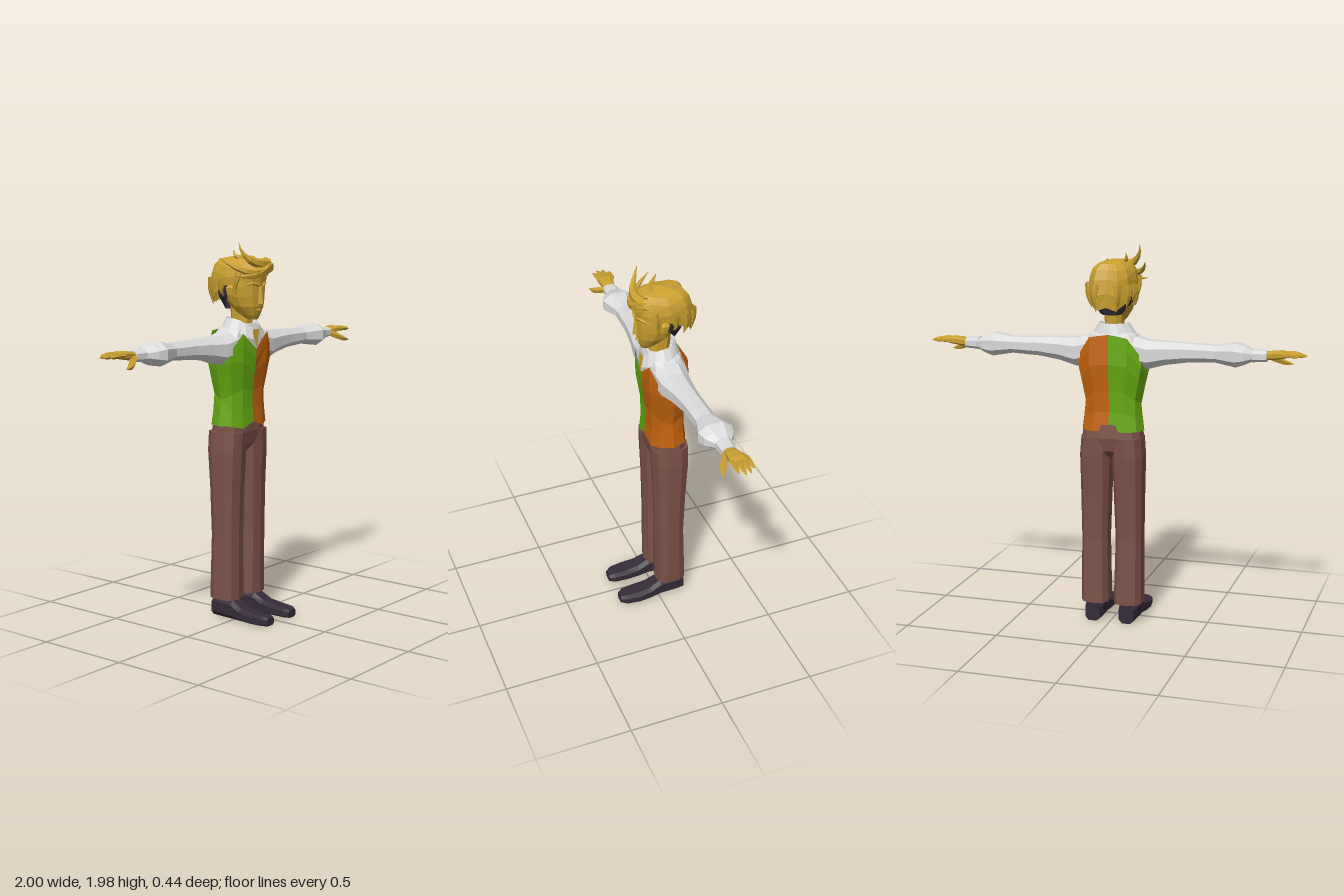
import * as THREE from 'three';

const paint = (name, color) => {
  const m = new THREE.MeshStandardMaterial({ color, side: THREE.DoubleSide });
  m.name = name;
  return m;
};

// Flat-shaded geometry from a grid of points: rows[i][j]
function gridGeometry(rows, closed, flip) {
  const pos = [];
  const tri = (a, b, c) => (flip ? [a, c, b] : [a, b, c]).forEach(p => pos.push(...p));
  const n = rows[0].length;
  for (let i = 0; i + 1 < rows.length; i++)
    for (let j = 0; j < (closed ? n : n - 1); j++) {
      const k = (j + 1) % n, [r, s] = [rows[i], rows[i + 1]];
      tri(r[j], s[j], s[k]);
      tri(r[j], s[k], r[k]);
    }
  if (closed)
    for (let j = 1; j + 1 < n; j++) {
      const r = rows[0], s = rows[rows.length - 1];
      tri(r[0], r[j], r[j + 1]);
      tri(s[0], s[j + 1], s[j]);
    }
  const g = new THREE.BufferGeometry();
  g.setAttribute('position', new THREE.Float32BufferAttribute(pos, 3));
  g.computeVertexNormals();
  return g;
}

// Closed loft along an axis; row = [position, centreA, centreB, radiusA, radiusB]
// axis y: A = x, B = z; axis x: A = z, B = y; axis z: A = y, B = x
function loft(axis, rows, n = 8, power = 0.75) {
  const bend = v => Math.sign(v) * Math.abs(v) ** power;
  return gridGeometry(rows.map(([s, ca, cb, ra, rb]) =>
    Array.from({ length: n }, (_, j) => {
      const t = ((j + 0.5) / n) * Math.PI * 2;
      const a = ca + ra * bend(Math.cos(t)), b = cb + rb * bend(Math.sin(t));
      return axis === 'y' ? [a, s, b] : axis === 'x' ? [s, b, a] : [b, a, s];
    })), true, false);
}

// Half shell on the +x side, columns from front to back; profile row = [y, halfWidth, zFront, zBack]
const SX = [0, 0.5, 0.86, 1, 0.86, 0.5, 0];
const SZ = [1, 0.95, 0.66, 0, -0.66, -0.95, -0.9];
function shell(profile, bottoms, tops, steps) {
  const at = y => {
    let i = 0;
    while (i < profile.length - 2 && y > profile[i + 1][0]) i++;
    const [p, q] = [profile[i], profile[i + 1]];
    const f = THREE.MathUtils.clamp((y - p[0]) / (q[0] - p[0]), 0, 1);
    return p.map((v, k) => v + (q[k] - v) * f);
  };
  return gridGeometry(steps.map(f => SX.map((sx, j) => {
    const y = bottoms[j] + (tops[j] - bottoms[j]) * f;
    const [, w, zf, zb] = at(y);
    return [w * sx, y, (zf + zb) / 2 + ((zf - zb) / 2) * SZ[j]];
  })), false, true);
}

// Tapering strand along a curve; a high power gives a blunt tip
function strand(points, radius, power = 1.3, sides = 5) {
  const curve = new THREE.CatmullRomCurve3(points.map(p => new THREE.Vector3(...p)));
  const seg = 7, g = new THREE.TubeGeometry(curve, seg, radius, sides, false);
  const p = g.attributes.position, v = new THREE.Vector3();
  for (let i = 0; i <= seg; i++) {
    const c = curve.getPointAt(i / seg), f = 1 - (i / seg) ** power;
    for (let j = 0; j <= sides; j++) {
      const k = i * (sides + 1) + j;
      v.fromBufferAttribute(p, k).sub(c).multiplyScalar(f).add(c);
      p.setXYZ(k, v.x, v.y, v.z);
    }
  }
  const flat = g.toNonIndexed();
  flat.computeVertexNormals();
  return flat;
}

// Copy mirrored in x, with the corner order restored
function mirrored(geometry) {
  const g = geometry.clone(), p = g.attributes.position, src = geometry.attributes.position;
  for (let i = 0; i < p.count; i++) {
    const k = i % 3 === 1 ? i + 1 : i % 3 === 2 ? i - 1 : i;
    p.setXYZ(i, -src.getX(k), src.getY(k), src.getZ(k));
  }
  g.computeVertexNormals();
  return g;
}

export function createModel() {
  const gold = paint('gold skin and hair', 0xc9a030), white = paint('white shirt', 0xdadada);
  const green = paint('green vest', 0x66aa11), orange = paint('orange vest', 0xc4640f);
  const brown = paint('brown trousers', 0x7b5147), dark = paint('dark leather', 0x352c38);
  const model = new THREE.Group();
  model.name = 'figure';
  const add = (name, g, m) => {
    const mesh = new THREE.Mesh(g, m);
    mesh.name = name;
    model.add(mesh);
  };
  const pair = (name, g, m, mRight = m) => {
    add(name + 'Left', g, m);
    add(name + 'Right', mirrored(g), mRight);
  };

  // Shoes and trousers
  pair('shoe', loft('z', [
    [-0.147, 0.05, 0.092, 0.05, 0.042], [-0.1, 0.054, 0.092, 0.054, 0.052], [-0.01, 0.053, 0.094, 0.053, 0.052],
    [0.05, 0.036, 0.096, 0.036, 0.056], [0.12, 0.03, 0.098, 0.03, 0.06], [0.19, 0.028, 0.096, 0.028, 0.052],
    [0.22, 0.024, 0.094, 0.022, 0.032]], 8, 0.65), dark);
  pair('trouserLeg', loft('y', [
    [0.105, 0.089, -0.076, 0.077, 0.084], [0.45, 0.092, -0.069, 0.072, 0.078], [0.7, 0.089, -0.071, 0.078, 0.086],
    [0.9, 0.087, -0.073, 0.083, 0.098], [1.0, 0.081, -0.071, 0.081, 0.1]], 10), brown);
  add('trouserSeat', loft('y', [
    [0.89, 0, -0.07, 0.05, 0.05], [0.93, 0, -0.07, 0.15, 0.085], [1.0, 0, -0.07, 0.16, 0.098],
    [1.07, 0, -0.066, 0.152, 0.092]], 12), brown);

  // Two-coloured vest
  pair('vest', shell(
    [[1.03, 0.167, 0.036, -0.168], [1.18, 0.148, 0.024, -0.15], [1.38, 0.195, 0.052, -0.177], [1.53, 0.2, 0.05, -0.165]],
    [1.05, 1.02, 1.035, 1.035, 1.035, 1.035, 1.035], [1.43, 1.515, 1.42, 1.36, 1.42, 1.52, 1.535],
    [0, 0.2, 0.42, 0.7, 0.87, 1]), orange, green);

  // Shirt body, sleeves and cuffs
  add('shirtBody', loft('y', [
    [1.2, 0, -0.064, 0.125, 0.07], [1.4, 0, -0.063, 0.165, 0.1], [1.48, 0, -0.06, 0.165, 0.1],
    [1.53, 0, -0.055, 0.125, 0.09], [1.56, 0, -0.045, 0.07, 0.07]], 12), white);
  pair('sleeve', loft('x', [
    [0.08, -0.06, 1.46, 0.095, 0.08], [0.19, -0.06, 1.432, 0.082, 0.078], [0.28, -0.062, 1.443, 0.066, 0.063],
    [0.39, -0.066, 1.45, 0.056, 0.052], [0.54, -0.07, 1.452, 0.055, 0.045], [0.645, -0.07, 1.452, 0.093, 0.064],
    [0.69, -0.072, 1.452, 0.08, 0.048], [0.735, -0.075, 1.452, 0.045, 0.027]], 8, 0.9), white);
  pair('cuff', loft('x', [[0.73, -0.075, 1.452, 0.045, 0.033], [0.8, -0.075, 1.452, 0.038, 0.028]], 8, 0.8), white);

  // Turned-down collar, open at the front
  const collarRow = (rx, rz, y, tip) => Array.from({ length: 8 }, (_, j) => {
    const t = THREE.MathUtils.degToRad(72 - j * (162 / 7));
    return [rx * Math.cos(t), y - tip * Math.max(0, Math.sin(t)) ** 2, -0.04 + rz * Math.sin(t)];
  });
  pair('collar', gridGeometry([
    collarRow(0.115, 0.108, 1.535, 0.06), collarRow(0.078, 0.09, 1.588, 0.05), collarRow(0.06, 0.075, 1.54, 0.04)],
  false, true), white);

  // Neck with the open throat
  add('neck', loft('y', [
    [1.48, 0, -0.04, 0.055, 0.06], [1.56, 0, -0.042, 0.046, 0.055], [1.68, 0, -0.05, 0.05, 0.058]], 8), gold);
  add('throat', gridGeometry([
    [[-0.004, 1.445, 0.056], [0.004, 1.445, 0.056]], [[-0.032, 1.53, 0.046], [0.032, 1.53, 0.046]]], false, true), gold);

  // Hands
  pair('palm', loft('x', [
    [0.785, -0.075, 1.452, 0.028, 0.02], [0.83, -0.078, 1.458, 0.036, 0.023], [0.875, -0.083, 1.464, 0.047, 0.02],
    [0.91, -0.084, 1.465, 0.044, 0.012]], 8), gold);
  [[-0.046, 0.98], [-0.072, 1.0], [-0.098, 0.995], [-0.123, 0.965]].forEach(([z, tip], i) =>
    pair('finger' + (i + 1), strand([
      [0.88, 1.465, z], [0.93, 1.466, z], [tip, 1.46, z * 1.1 + 0.008]], 0.013, 5), gold));
  pair('thumb', strand([[0.8, 1.45, -0.06], [0.85, 1.425, -0.025], [0.88, 1.412, -0.01], [0.92, 1.405, 0.002]], 0.018, 4), gold);

  // Head and face
  add('head', loft('y', [
    [1.582, 0, 0.03, 0.026, 0.022], [1.605, 0, 0.012, 0.05, 0.05], [1.65, 0, -0.008, 0.082, 0.082],
    [1.7, 0, -0.028, 0.1, 0.104], [1.75, 0, -0.036, 0.107, 0.112], [1.82, 0, -0.038, 0.107, 0.12],
    [1.88, 0, -0.04, 0.07, 0.09]], 14, 0.85), gold);
  add('nose', gridGeometry([
    [[-0.02, 1.665, 0.065], [0, 1.662, 0.096], [0.02, 1.665, 0.065]],
    [[-0.009, 1.75, 0.07], [0, 1.755, 0.084], [0.009, 1.75, 0.07]]], false, true), gold);
  add('lips', loft('x', [
    [-0.028, 0.06, 1.632, 0.004, 0.003], [0, 0.07, 1.632, 0.01, 0.008], [0.028, 0.06, 1.632, 0.004, 0.003]], 6), gold);
  pair('brow', strand([[0.012, 1.755, 0.078], [0.05, 1.768, 0.07], [0.09, 1.752, 0.035]], 0.009, 2), gold);
  pair('ear', loft('y', [
    [1.675, 0.1, -0.03, 0.008, 0.01], [1.71, 0.108, -0.032, 0.012, 0.02], [1.745, 0.113, -0.036, 0.012, 0.024],
    [1.76, 0.11, -0.036, 0.006, 0.012]], 6), gold);

  // Hair cap with a ragged hem, over a dark undercut
  pair('undercut', shell(
    [[1.63, 0.062, 0.02, -0.13], [1.68, 0.1, 0.04, -0.155], [1.76, 0.112, 0.05, -0.17]],
    [1.75, 1.75, 1.75, 1.7, 1.635, 1.63, 1.63], [1.76, 1.76, 1.76, 1.76, 1.76, 1.76, 1.76], [0, 0.5, 1]), dark);
  pair('hairCap', shell(
    [[1.64, 0.09, 0.07, -0.195], [1.7, 0.117, 0.08, -0.217], [1.8, 0.122, 0.095, -0.207], [1.86, 0.108, 0.085, -0.187],
      [1.892, 0.075, 0.045, -0.16], [1.91, 0, -0.05, -0.05]],
    [1.82, 1.815, 1.8, 1.755, 1.7, 1.66, 1.675], SX.map(() => 1.91), [0, 0.3, 0.6, 0.8, 0.92, 1]), gold);
  pair('sideburn', strand([[0.107, 1.82, 0.02], [0.116, 1.77, 0.01], [0.108, 1.71, 0.005]], 0.018), gold);
  [[0.112, -0.08, 1.7], [0.1, -0.14, 1.665], [0.06, -0.19, 1.65]].forEach(([x, z, y], i) =>
    pair('napeLock' + (i + 1), strand([[x, 1.79, z], [x * 1.02, 1.73, z - 0.008], [x * 0.9, y, z]], 0.026), gold));

  // Swept quiff
  [
    [[0.07, 1.86, 0.06], [0, 1.865, 0.075], [-0.07, 1.885, 0.065], [-0.106, 1.93, 0.04], [-0.112, 1.98, 0.025]],
    [[0.1, 1.85, 0.05], [0.02, 1.83, 0.082], [-0.07, 1.825, 0.075], [-0.135, 1.855, 0.01], [-0.165, 1.9, -0.06]],
    [[0.08, 1.87, 0.05], [0.02, 1.835, 0.085], [-0.06, 1.81, 0.082], [-0.12, 1.805, 0.045], [-0.16, 1.81, 0.03]],
    [[0.03, 1.88, 0.01], [-0.03, 1.89, -0.01], [-0.06, 1.905, -0.035], [-0.06, 1.945, -0.055]],
  ].forEach((path, i) => add('quiffLock' + (i + 1), strand(path, i < 3 ? 0.033 : 0.024, 1.5, 6), gold));

  return model;
}
